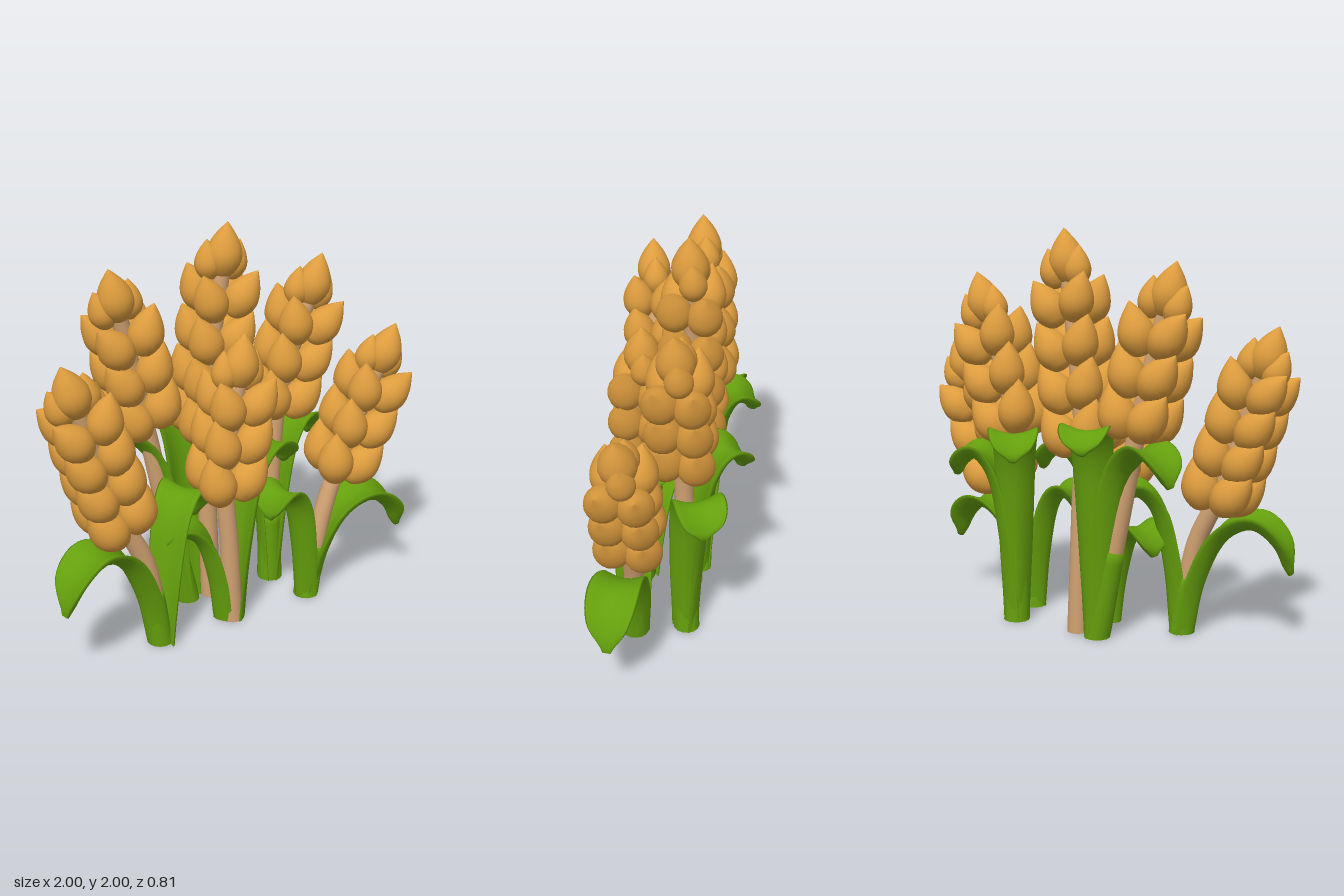
import * as THREE from 'three';

const V = (a) => new THREE.Vector3(...a);
const UP = V([0, 1, 0]);

// Closed solid swept along a curve; section(t) gives half width, half thickness and cupping
function sweep(points, heading, section, steps, sides) {
  const curve = new THREE.CatmullRomCurve3(points, false, 'centripetal');
  const side = UP.clone().cross(heading).normalize();
  const pos = [], idx = [];
  const addRow = (t, collapsed) => {
    const p = curve.getPoint(t), n = curve.getTangent(t).cross(side).normalize();
    const [w, th, curl] = section(t);
    for (let j = 0; j < sides; j++) {
      const a = (j / sides) * Math.PI * 2, c = collapsed ? 0 : Math.cos(a);
      const v = collapsed ? 0 : Math.sin(a) * th + curl * c * c;
      const q = p.clone().addScaledVector(side, c * w).addScaledVector(n, v);
      pos.push(q.x, t === 0 ? 0 : Math.max(q.y, 0), q.z);
    }
  };
  // The foot ring is doubled so the flat end keeps a sharp edge
  addRow(0, true);
  addRow(0, false);
  for (let i = 0; i <= steps; i++) addRow(i / steps, false);
  addRow(1, true);
  for (let i = 0; i < steps + 3; i++) {
    if (i === 1) continue;
    for (let j = 0; j < sides; j++) {
      const k = (j + 1) % sides, a = i * sides + j, b = i * sides + k;
      idx.push(a, b, a + sides, b, b + sides, a + sides);
    }
  }
  const g = new THREE.BufferGeometry();
  g.setAttribute('position', new THREE.Float32BufferAttribute(pos, 3));
  g.setIndex(idx);
  g.computeVertexNormals();
  return g;
}

// Leaf half width: narrow foot, broad shoulder, rounded tip; the foot is cupped around the stem
const widthCurve = new THREE.SplineCurve(
  [0.066, 0.085, 0.1, 0.114, 0.124, 0.098, 0.02].map((w, i) => new THREE.Vector2(i / 6, w)));
function leafSection(t) {
  const w = widthCurve.getPoint(t).y;
  return [w, Math.min(0.026, w * 0.6), w * 0.45 + 0.03 * Math.max(0, 1 - 2.5 * t)];
}

// Leaf path: rises steeply, arches over at its crest and droops to the tip
function leafPath(footX, footZ, tipX, tipZ, crest, tipY) {
  const reach = [0, 0.12, 0.36, 0.64, 0.87, 1];
  const height = [0, crest * 0.5, crest * 0.9, crest, crest * 0.65 + tipY * 0.35, tipY];
  return reach.map((r, i) => new THREE.Vector3(
    footX + (tipX - footX) * r, height[i], footZ + (tipZ - footZ) * r));
}

// Plump pointed grain
const grainProfile = new THREE.SplineCurve([[0, -0.12], [0.045, -0.107], [0.082, -0.05], [0.086, 0.01],
  [0.06, 0.073], [0.024, 0.122], [0, 0.15]].map(([x, y]) => new THREE.Vector2(x, y)));
const profilePoints = grainProfile.getPoints(18).map((p) => new THREE.Vector2(Math.max(p.x, 0), p.y));
profilePoints[0].x = profilePoints[18].x = 0;

// Stalks: foot, bend, centre of lowest grain tier, centre of top grain, number of tiers, sheathed foot
const STALKS = [
  [[-0.44, 0, 0.18], [-0.51, 0.45, 0.18], [-0.655, 0.76, 0.18], [-0.87, 1.41, 0.215], 4, true],
  [[-0.13, 0, -0.12], [-0.28, 0.7, -0.12], [-0.37, 1.13, -0.12], [-0.505, 1.71, -0.09], 3, true],
  [[0, 0, -0.1], [-0.02, 0.6, -0.1], [-0.03, 1.03, -0.1], [0.07, 1.85, -0.085], 4, false],
  [[-0.02, 0, 0.17], [-0.04, 0.4, 0.17], [-0.06, 0.81, 0.165], [0.03, 1.37, 0.15], 3, false],
  [[0.37, 0, -0.11], [0.36, 0.6, -0.1], [0.4, 1.07, -0.09], [0.58, 1.63, -0.08], 3, true],
  [[0.44, 0, 0.14], [0.53, 0.42, 0.13], [0.645, 0.74, 0.125], [0.88, 1.28, 0.135], 3, true],
];

// Leaves: foot x and z, tip x and z, crest height, tip height
const LEAVES = [
  [-0.48, 0.18, -0.975, 0.29, 0.58, 0.35],
  [-0.4, 0.18, -0.15, 0, 0.71, 0.55],
  [-0.13, -0.15, -0.21, -0.38, 1.04, 0.96],
  [-0.17, -0.13, -0.59, -0.22, 0.96, 0.82],
  [-0.08, 0.13, -0.35, 0.05, 0.51, 0.4],
  [0.03, 0.15, 0.33, 0.07, 0.88, 0.77],
  [0.35, -0.14, 0.2, -0.36, 0.98, 0.88],
  [0.4, -0.12, 0.66, -0.22, 0.86, 0.75],
  [0.4, 0.15, 0.18, 0.19, 0.63, 0.52],
  [0.48, 0.14, 0.97, 0.19, 0.51, 0.3],
];

export function createModel() {
  const model = new THREE.Group();
  model.name = 'wheatClump';
  const mat = (name, color) => {
    const m = new THREE.MeshStandardMaterial({ color });
    m.name = name;
    return m;
  };
  const gold = mat('grainGold', 0xdd9c3e);
  const tan = mat('stemTan', 0xd2a373);
  const green = mat('leafGreen', 0x659f0d);
  const grainGeometry = new THREE.LatheGeometry(profilePoints, 18);

  const add = (parent, name, geometry, material) => {
    const mesh = new THREE.Mesh(geometry, material);
    mesh.name = name;
    parent.add(mesh);
    return mesh;
  };

  const stemSection = (t) => [0.052 - 0.012 * t, 0.052 - 0.012 * t, 0];
  const sheathSection = (t) => [0.066 - 0.012 * t, 0.066 - 0.012 * t, 0];
  for (const [foot, bend, low, top, tiers, sheathed] of STALKS) {
    const stalk = new THREE.Group();
    stalk.name = 'stalk';
    model.add(stalk);
    const stemPath = [foot, bend, low, top].map(V);
    add(stalk, 'stem', sweep(stemPath, V([1, 0, 0]), stemSection, 20, 14), tan);

    // Green sheath following the lower stem
    if (sheathed) {
      const stemCurve = new THREE.CatmullRomCurve3(stemPath, false, 'centripetal');
      const sheathPath = [0, 0.07, 0.14, 0.21].map((t) => stemCurve.getPoint(t));
      add(stalk, 'sheath', sweep(sheathPath, V([1, 0, 0]), sheathSection, 8, 14), green);
    }

    // Ear frame: along the ear, across it, and towards the front
    const start = V(low), crown = V(top), axis = crown.clone().sub(start);
    const along = axis.clone().normalize();
    const across = along.clone().cross(V([0, 0, 1])).normalize();
    const front = across.clone().cross(along).normalize();
    const grain = (center, u, v, lift, lean, tilt, size) => {
      const g = add(stalk, 'grain', grainGeometry, gold);
      g.position.copy(center).addScaledVector(across, u).addScaledVector(front, v).addScaledVector(along, lift);
      const dir = along.clone().addScaledVector(across, lean).addScaledVector(front, tilt).normalize();
      g.quaternion.setFromUnitVectors(UP, dir);
      g.scale.setScalar(size);
    };

    // Four grains per tier
    for (let i = 0; i < tiers; i++) {
      const c = start.clone().addScaledVector(axis, i / tiers);
      const size = 1.05 - 0.03 * i;
      for (const sx of [-1, 1]) for (const sz of [-1, 1]) {
        grain(c, sx * 0.086, sz * 0.072, sx * sz * 0.01, sx * 0.5, sz * 0.1, size);
      }
    }
    // Crown: one upright grain with smaller ones beside it
    grain(crown, 0, 0, 0, 0, 0, 1);
    for (const s of [-1, 1]) grain(crown, s * 0.072, -0.02, -0.05, s * 0.18, 0, 0.75);
  }

  for (const leaf of LEAVES) {
    const path = leafPath(...leaf);
    const heading = path[5].clone().sub(path[0]).setY(0);
    add(model, 'leaf', sweep(path, heading, leafSection, 28, 16), green);
  }
  return model;
}
